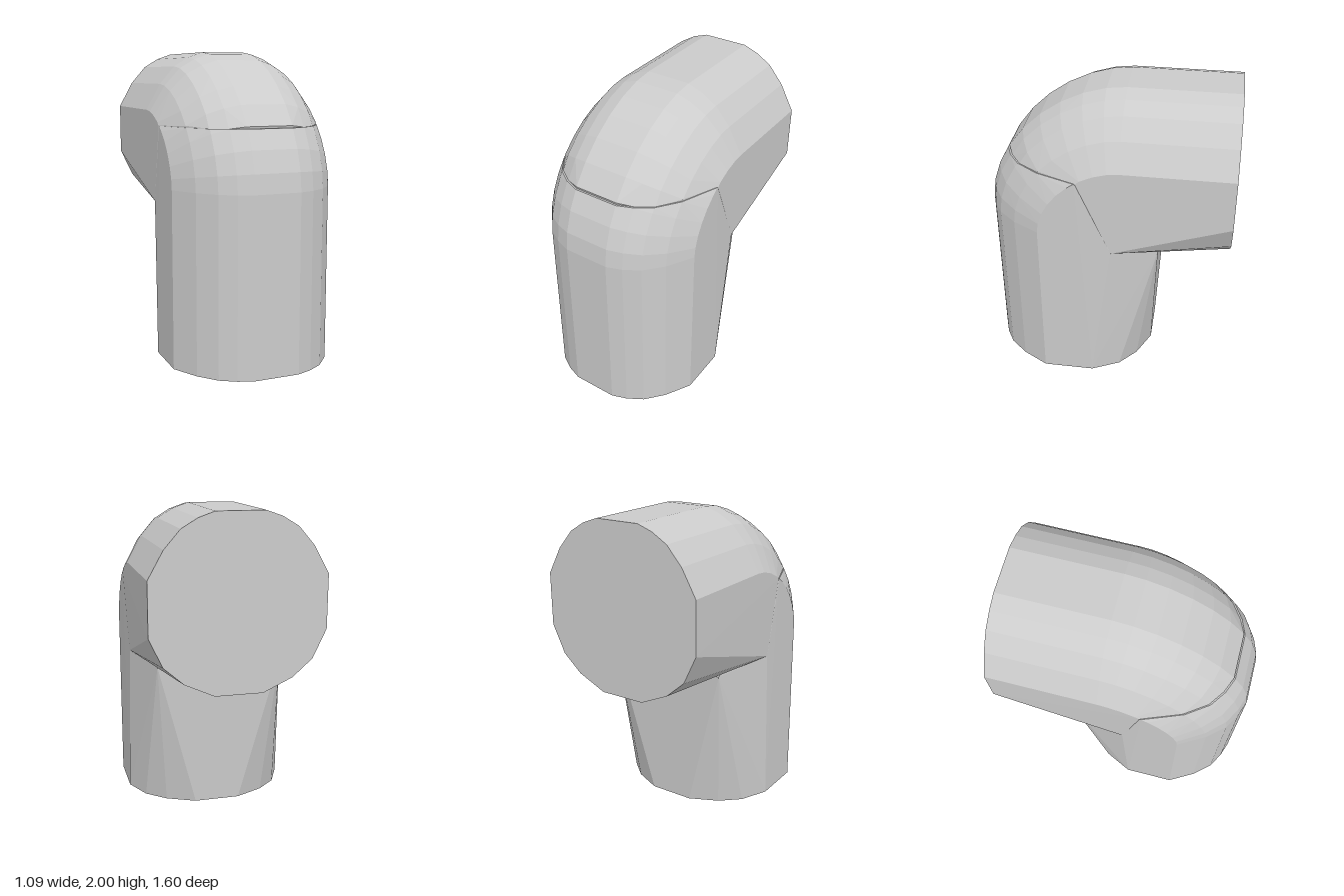
import * as THREE from 'three';
import { ConvexGeometry } from 'three/addons/geometries/ConvexGeometry.js';

// Half cross-section: x is half width, u points to the outside of the bend
const half = [
  [0.15, 0.545], [0.25, 0.51], [0.35, 0.45], [0.45, 0.335], [0.545, 0.165],
  [0.545, -0.17], [0.46, -0.35], [0.335, -0.46], [0.15, -0.545],
];
const section = [...half, ...half.map(([x, u]) => [-x, u])];
const outer = section.filter(([, u]) => u > 0);

const SEAM_Y = 1.53;
const BEND_STEPS = 9;
const POWER = 1.11; // slightly flatter than a circular bend

const point = (x, y, z) => new THREE.Vector3(x, y, z);

// Point of the bend at offset u and angle t (0 = upright leg, PI/2 = level arm)
const bendPoint = (x, u, t) => point(
  x,
  1.15 + (0.305 + u) * Math.sin(t) ** POWER,
  -0.1 + (0.3525 + u) * Math.max(0, Math.cos(t)) ** POWER,
);

// Where the bend crosses the height of the seam
const seamPoint = ([x, u]) =>
  bendPoint(x, u, Math.asin(((SEAM_Y - 1.15) / (0.305 + u)) ** (1 / POWER)));

export function createModel() {
  const bend = [];
  for (let k = 0; k <= BEND_STEPS; k++) {
    const t = (k / BEND_STEPS) * Math.PI / 2;
    bend.push(...outer.map(([x, u]) => bendPoint(x, u, t)));
  }
  const seam = outer.map(seamPoint);
  // Side corners on the inside of the bend, shared by both pieces
  const corners = [point(0.542, 1.03, -0.05), point(-0.542, 1.03, 0.05)];

  // Upright piece: base, lower bend, and the leaning back panel
  const leg = [
    ...section.map(([x, u]) => point(x, 0, 0.2525 + u)),
    ...bend.filter((p) => p.y < SEAM_Y),
    ...seam,
    ...corners,
    point(0.41, 0.98, -0.34), point(-0.41, 0.98, -0.34),
  ];

  // Level piece: back end, upper bend set in a little at the seam, sloping underside
  const arm = [
    ...section.map(([x, u]) => point(x, 1.455 + u, -0.8)),
    ...bend.filter((p) => p.y > SEAM_Y),
    ...seam.map((p) => point(p.x, p.y, p.z - 0.012)),
    ...corners,
    point(0.155, 0.865, -0.345), point(-0.155, 0.865, -0.345),
  ];

  const group = new THREE.Group();
  group.name = 'pipeElbow';
  const material = new THREE.MeshStandardMaterial({ color: 0xcccccc, flatShading: true });
  for (const [name, points] of [['uprightLeg', leg], ['levelArm', arm]]) {
    const mesh = new THREE.Mesh(new ConvexGeometry(points), material);
    mesh.name = name;
    group.add(mesh);
  }
  return group;
}
